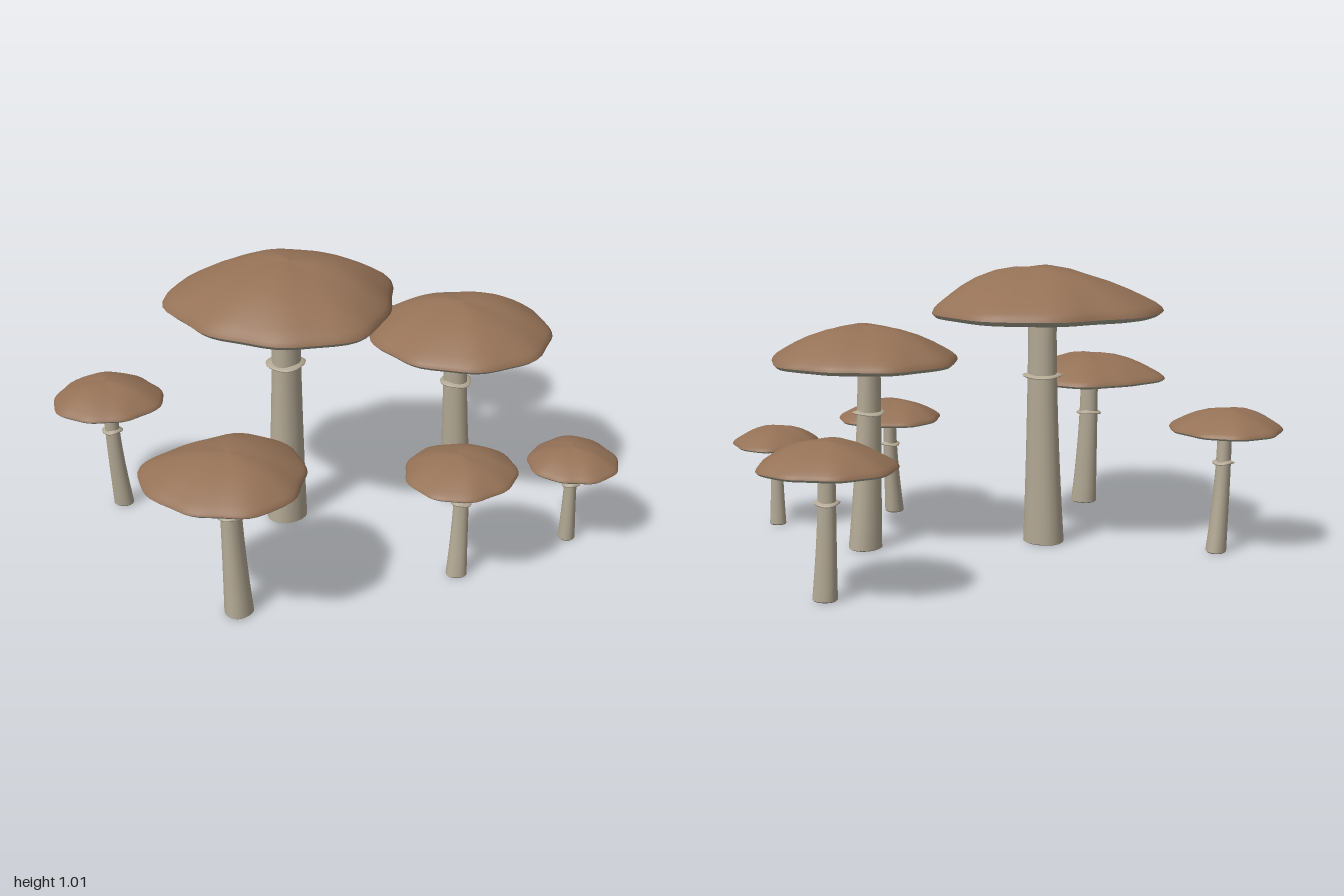
import * as THREE from 'three';
import { mergeGeometries } from 'three/addons/utils/BufferGeometryUtils.js';

const material = (name, color) => Object.assign(new THREE.MeshStandardMaterial({ color }), { name });

// Each mushroom: cap centre, rim and top heights, stem base and neck positions,
// and the cap outline radius in hundredths every 45 degrees from +x towards +z.
const MUSHROOMS = [
  { name: 'tallMushroom', cap: [-0.2, -0.134], rim: 0.84, top: 1.012, base: [-0.235, -0.14], neck: [-0.215, -0.15],
    outline: [40, 35.5, 40, 38, 39.5, 45, 38.5, 40] },
  { name: 'leaningMushroom', cap: [0.363, 0.134], rim: 0.67, top: 0.81, base: [0.372, 0.12], neck: [0.343, 0.13],
    outline: [32.6, 32.3, 33.6, 33, 32.6, 34, 32.3, 29.8] },
  { name: 'leftBroadMushroom', cap: [-0.727, 0.273], rim: 0.505, top: 0.61, base: [-0.72, 0.29], neck: [-0.722, 0.265],
    outline: [26.7, 24.8, 26.7, 25.5, 26.7, 29.8, 25.4, 28.2] },
  { name: 'backLeftMushroom', cap: [-0.717, -0.588], rim: 0.438, top: 0.52, base: [-0.68, -0.58], neck: [-0.713, -0.572],
    outline: [19.5, 21.3, 19.8, 19, 19.8, 18.6, 19.3, 19.8] },
  { name: 'backRightMushroom', cap: [0.77, -0.39], rim: 0.435, top: 0.53, base: [0.767, -0.367], neck: [0.758, -0.375],
    outline: [22.4, 21, 21.6, 22.4, 21.7, 23.6, 22, 20.4] },
  { name: 'frontMushroom', cap: [0.048, 0.519], rim: 0.375, top: 0.455, base: [0.02, 0.546], neck: [0.047, 0.53],
    outline: [20, 19.5, 19, 20.2, 19.8, 19, 19.8, 19] },
  { name: 'smallMushroom', cap: [0.492, 0.604], rim: 0.31, top: 0.38, base: [0.498, 0.6], neck: [0.496, 0.605],
    outline: [16.6, 16.8, 16.8, 15.4, 16, 15.4, 15.6, 18.6] },
];

// Closed surface of rings; point(row, angle) gives [x, y, z]. Rows run from the bottom upwards.
function loft(rows, cols, point) {
  const pos = [], index = [];
  for (let i = 0; i < rows; i++)
    for (let j = 0; j < cols; j++) {
      pos.push(...point(i, (j / cols) * Math.PI * 2));
      if (i === rows - 1) continue;
      const a = i * cols + j, b = i * cols + ((j + 1) % cols);
      index.push(a, a + cols, b, b, a + cols, b + cols);
    }
  const geo = new THREE.BufferGeometry();
  geo.setAttribute('position', new THREE.Float32BufferAttribute(pos, 3));
  geo.setIndex(index);
  geo.computeVertexNormals();
  return geo;
}

// Smooth periodic interpolation of the outline radii, with small scallops
function outlineRadius(radii, angle, seed) {
  const n = radii.length, f = (angle / (Math.PI * 2)) * n, i = Math.floor(f), t = f - i;
  const [p, q, r, s] = [-1, 0, 1, 2].map((k) => radii[(i + k + n) % n] / 100);
  const smooth = q + 0.5 * t * (r - p + t * (2 * p - 5 * q + 4 * r - s + t * (3 * (q - r) + s - p)));
  return smooth * (1 + 0.018 * Math.sin(angle * 9 + seed));
}

// Dome from the widest edge to the crown: [radius fraction, height fraction]
const DOME = [[1, 0.11], [0.985, 0.19], [0.95, 0.27], [0.88, 0.38], [0.75, 0.56], [0.6, 0.73],
  [0.4, 0.89], [0.2, 0.98], [0.001, 1]];
// Underside from the centre to the widest edge
const HOLLOW = 0.15;
const UNDER = [[0.001, HOLLOW], [0.3, 0.1], [0.6, 0.05], [0.9, 0], [0.965, 0.03], [1, 0.11]];

function buildMushroom(m, seed, mats) {
  const group = new THREE.Group();
  group.name = m.name;
  const add = (name, geo, mat) => {
    const mesh = new THREE.Mesh(geo, mat);
    mesh.name = name;
    group.add(mesh);
  };
  const height = m.top - m.rim;
  const mean = m.outline.reduce((a, b) => a + b) / m.outline.length / 100;
  const capPoint = (t, h, a) => {
    const r = t * THREE.MathUtils.lerp(mean, outlineRadius(m.outline, a, seed), t);
    return [m.cap[0] + r * Math.cos(a), m.rim + height * h, m.cap[1] + r * Math.sin(a)];
  };

  // Cap dome with gentle lumps, and pale underside
  add('cap', loft(DOME.length, 60, (i, a) => {
    const [t, h] = DOME[i], lump = 0.035 * Math.sin(a * 3 + seed) * Math.sin(t * Math.PI);
    return capPoint(t, h + lump, a);
  }), mats.cap);
  add('underside', loft(UNDER.length, 60, (i, a) => capPoint(...UNDER[i], a)), mats.gill);

  // Thin radial gills of varied length
  const gills = [];
  for (let k = 0; k < 32; k++) {
    const a = ((k + 0.5 + 0.3 * Math.sin(k * 7 + seed)) / 32) * Math.PI * 2, R = outlineRadius(m.outline, a, seed);
    const from = 0.5 + 0.2 * Math.sin(k * 5.3 + seed), to = 0.88, mid = (from + to) / 2;
    const geo = new THREE.BoxGeometry((to - from) * R, 0.003, 0.001);
    geo.rotateZ(-Math.atan2(height * HOLLOW, R * 0.9));
    geo.translate(mid * R, m.rim + height * HOLLOW * (1 - mid / 0.9), 0);
    geo.rotateY(-a);
    geo.translate(m.cap[0], 0, m.cap[1]);
    gills.push(geo);
  }
  add('gills', mergeGeometries(gills), mats.gill);

  // Leaning stem with a flared foot
  const stemTop = m.rim + height * HOLLOW, neckR = 0.128 * mean, footR = 0.188 * mean;
  const stemRadius = (s) => neckR + (footR - neckR) * Math.pow(1 - s, 1.8);
  const stemPoint = (s, r, a) => {
    const [x, z] = [0, 1].map((k) => THREE.MathUtils.lerp(m.base[k], m.neck[k], Math.sin(s * Math.PI / 2)));
    return [x + r * Math.cos(a), 0.004 + s * (stemTop - 0.004), z + r * Math.sin(a)];
  };
  const uneven = (a) => 1 + 0.04 * Math.sin(a * 3 + seed * 2);
  add('stem', loft(9, 20, (i, a) => stemPoint(i / 8, stemRadius(i / 8) * uneven(a), a)), mats.stem);
  // Foot closes the stem with a slightly rounded bottom
  add('stemFoot', loft(3, 20, (i, a) => {
    const p = stemPoint(0, [0.001, 0.9, 1][i] * footR * uneven(a), a);
    if (i < 2) p[1] = 0;
    return p;
  }), mats.stem);

  // Collar around the stem, three quarters of the way up
  const s = 0.74 * m.rim / stemTop, r = stemRadius(s), w = 0.005 + neckR * 0.22;
  const collar = [[0.9 * r, -0.003], [r + w, -0.005], [r + w * 1.1, -0.001], [r + w * 0.5, 0.002], [0.9 * r, 0.007]];
  add('collar', loft(collar.length, 24, (i, a) => {
    const p = stemPoint(s, collar[i][0] * (1 + 0.04 * Math.sin(a * 4 + seed)), a);
    p[1] += collar[i][1] + 0.003 * Math.sin(a * 2 + seed);
    return p;
  }), mats.stem);
  return group;
}

export function createModel() {
  const mats = {
    cap: material('cap brown', 0x957257),
    stem: material('stem beige', 0xb2a894),
    gill: material('underside grey', 0xa8a592),
  };
  const model = new THREE.Group();
  model.name = 'mushroomCluster';
  MUSHROOMS.forEach((m, i) => model.add(buildMushroom(m, i * 1.7, mats)));
  return model;
}
